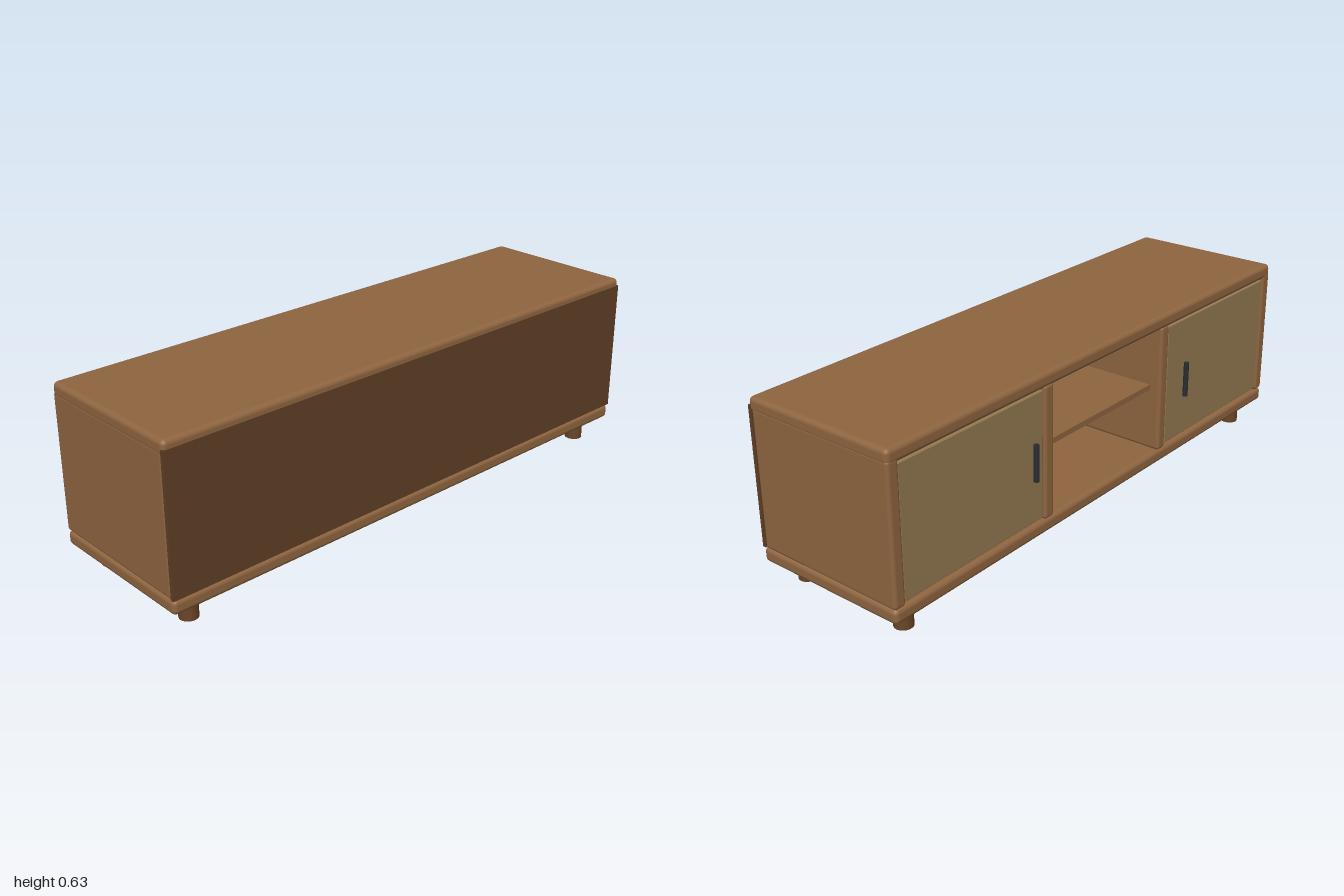
import * as THREE from 'three';
import { RoundedBoxGeometry } from 'three/addons/geometries/RoundedBoxGeometry.js';

const wood = new THREE.MeshStandardMaterial({ color: 0x8f6540 });
const darkWood = new THREE.MeshStandardMaterial({ color: 0x5f4026 });
const legWood = new THREE.MeshStandardMaterial({ color: 0x6b4528 });
const doorWood = new THREE.MeshStandardMaterial({ color: 0x937850 });
const metal = new THREE.MeshStandardMaterial({ color: 0x2a2d30 });

export function createModel() {
  const model = new THREE.Group();
  model.name = 'mediaCabinet';

  // Box given by its extents; a radius rounds its edges
  const slab = (name, material, [x0, x1], [y0, y1], [z0, z1], radius = 0) => {
    const size = [x1 - x0, y1 - y0, z1 - z0];
    const geometry = radius
      ? new RoundedBoxGeometry(...size, 4, radius)
      : new THREE.BoxGeometry(...size);
    const mesh = new THREE.Mesh(geometry, material);
    mesh.name = name;
    mesh.position.set((x0 + x1) / 2, (y0 + y1) / 2, (z0 + z1) / 2);
    model.add(mesh);
  };

  // Upright cylinder standing on y
  const post = (name, material, radius, height, x, y, z) => {
    const mesh = new THREE.Mesh(new THREE.CylinderGeometry(radius, radius, height, 32), material);
    mesh.name = name;
    mesh.position.set(x, y + height / 2, z);
    model.add(mesh);
  };

  // Carcass
  const depth = [-0.265, 0.2995];
  slab('base', wood, [-1, 1], [0.075, 0.125], depth, 0.016);
  slab('top', wood, [-1, 1], [0.577, 0.627], depth, 0.016);
  slab('panel', darkWood, [-1, 1], [0.127, 0.6], [0.287, 0.3]);

  // Centre shelf, set back from the opening
  slab('shelf', wood, [-0.295, 0.295], [0.345, 0.365], [-0.222, 0.288]);

  // Parts mirrored on both sides
  for (const s of [1, -1]) {
    const span = (a, b) => (s > 0 ? [a, b] : [-b, -a]);
    const side = s > 0 ? 'left' : 'right';
    slab(side + 'Side', wood, span(0.955, 1), [0.125, 0.595], [-0.265, 0.289], 0.012);
    slab(side + 'Divider', wood, span(0.29, 0.335), [0.122, 0.585], [-0.264, 0.289], 0.012);
    slab(side + 'Door', doorWood, span(0.338, 0.956), [0.133, 0.572], [-0.258, -0.236], 0.004);
    post(side + 'Handle', metal, 0.009, 0.125, s * 0.41, 0.301, -0.29);
    for (const z of [0.223, -0.19]) post('leg', legWood, 0.031, 0.078, s * 0.9, 0, z);
  }

  return model;
}
